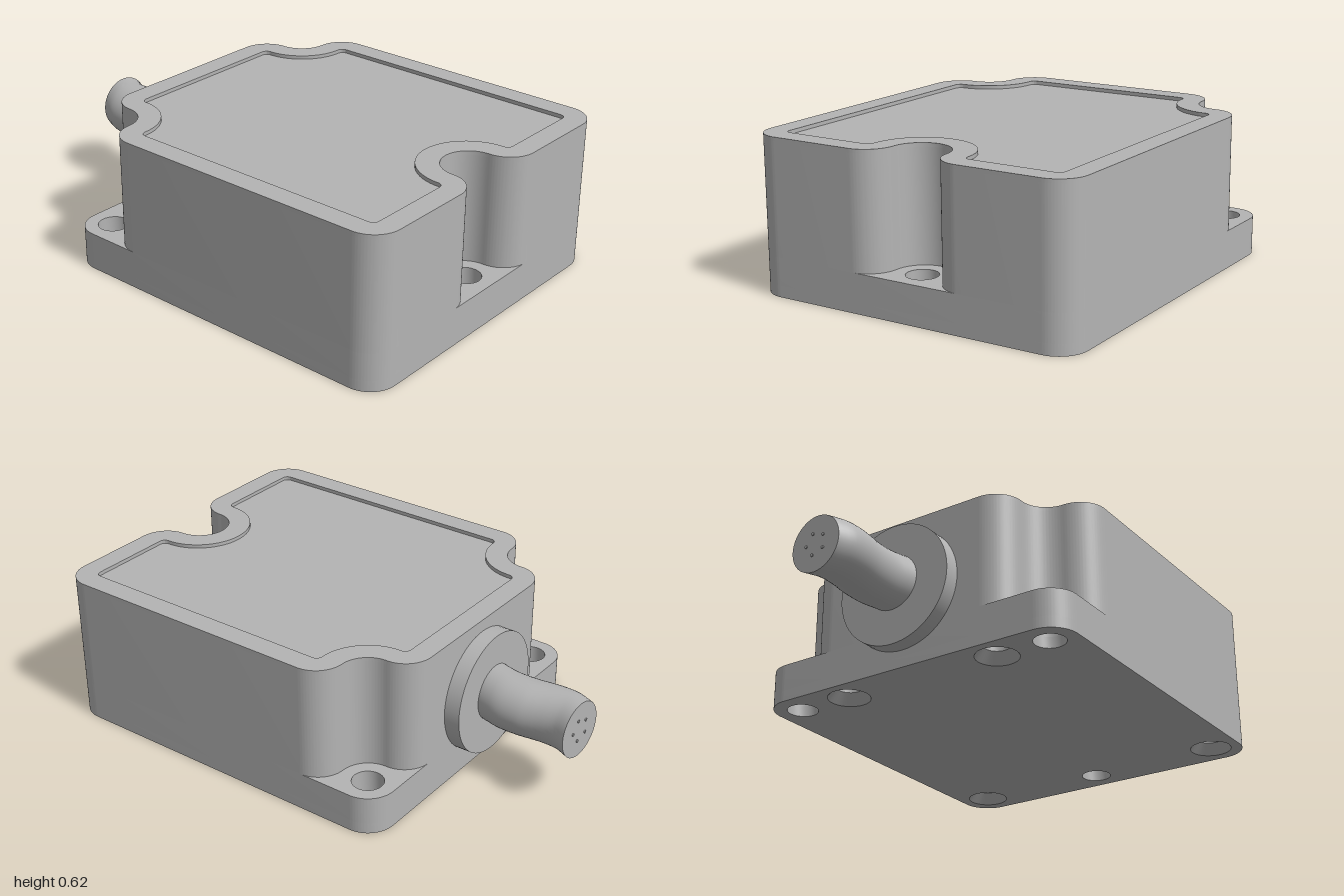
import * as THREE from 'three';
import { toCreasedNormals } from 'three/addons/utils/BufferGeometryUtils.js';

const R = 0.115; // radius shared by corners and screw pockets
const rad = THREE.MathUtils.degToRad;

// Arcs as [centre x, centre z, start, end] in degrees; falling angles are concave
const BASE_ARCS = [
  [0.575, -0.415, -90, 0], [0.575, 0.885, 0, 90],
  [-0.575, 0.885, 90, 180], [-0.575, -0.415, 180, 270],
];
const BODY_ARCS = [
  [0.345, -0.415, -90, 0], [0.575, -0.415, 180, 90], [0.575, -0.185, -90, 0],
  [0.575, 0.885, 0, 90],
  [0.23, 0.885, 90, 180], [0, 0.885, 0, -180], [-0.23, 0.885, 0, 90],
  [-0.575, 0.885, 90, 180],
  [-0.575, -0.185, 180, 270], [-0.575, -0.415, 90, 0], [-0.345, -0.415, 180, 270],
];
const MOUNT_HOLES = [[0.575, -0.415], [-0.575, -0.415], [0, 0.885]];
const SCREW_HOLES = [[0.345, -0.41], [-0.345, -0.41], [0.565, 0.87], [-0.565, 0.87]];

// Draws an outline, moved inwards by inset
function outline(path, arcs, inset = 0) {
  for (const [x, z, a, b] of arcs) {
    const concave = b < a;
    path.absarc(x, z, concave ? R + inset : R - inset, rad(a), rad(b), concave);
  }
  path.closePath();
  return path;
}

function addHoles(shape, centres, r) {
  for (const [x, z] of centres) {
    shape.holes.push(new THREE.Path().absarc(x, z, r, 0, Math.PI * 2, true));
  }
}

// Extrudes an x/z shape between two heights
function slab(shape, y0, y1) {
  const geo = new THREE.ExtrudeGeometry(shape, { depth: y1 - y0, bevelEnabled: false, curveSegments: 16 });
  geo.rotateX(Math.PI / 2).translate(0, y1, 0);
  return toCreasedNormals(geo, rad(35));
}

export function createModel() {
  const group = new THREE.Group();
  const grey = new THREE.MeshStandardMaterial({ color: 0xb4b4b4 });
  grey.name = 'plain grey';
  const add = (name, geo) => {
    const mesh = new THREE.Mesh(geo, grey);
    mesh.name = name;
    group.add(mesh);
    return mesh;
  };

  // Mounting base in two layers, the lower one with wide screw openings
  const sink = 0.045, ledge = 0.155, lid = 0.6, top = 0.615;
  for (const [name, y0, y1, r] of [['baseBottom', 0, sink, 0.085], ['baseTop', sink, ledge, 0.052]]) {
    const shape = outline(new THREE.Shape(), BASE_ARCS);
    addHoles(shape, MOUNT_HOLES, 0.062);
    addHoles(shape, SCREW_HOLES, r);
    add(name, slab(shape, y0, y1));
  }

  // Countersinks, facing into the holes
  const cone = new THREE.LatheGeometry(
    [new THREE.Vector2(0.052, sink), new THREE.Vector2(0.085, 0)], 32);
  for (const [x, z] of SCREW_HOLES) add('countersink', cone).position.set(x, 0, z);

  // Housing with screw pockets; its upper face is the sunken lid
  add('housing', slab(outline(new THREE.Shape(), BODY_ARCS), ledge, lid));

  // Raised rim around the lid
  const rim = outline(new THREE.Shape(), BODY_ARCS);
  rim.holes.push(outline(new THREE.Path(), BODY_ARCS, 0.09));
  add('rim', slab(rim, lid, top));

  // Round cable gland on the back
  const gland = new THREE.CylinderGeometry(0.248, 0.248, 0.065, 64);
  gland.rotateX(Math.PI / 2);
  add('cableGland', gland).position.set(0, 0.318, -0.5625);

  // Cable: a cylinder with its sections shifted along a gentle wave
  const z0 = -0.58, z1 = -0.993;
  const wave = new THREE.CatmullRomCurve3(
    [[0, z0], [0.023, -0.67], [0.024, -0.76], [0.013, -0.86], [0.018, -0.93], [0.045, z1]]
      .map(([x, z]) => new THREE.Vector3(x, 0, z)));
  const samples = wave.getPoints(100);
  const shiftAt = (z) => samples.reduce((a, b) => (Math.abs(b.z - z) < Math.abs(a.z - z) ? b : a)).x;
  const cable = new THREE.CylinderGeometry(0.113, 0.113, z0 - z1, 48, 24);
  cable.rotateX(Math.PI / 2).translate(0, 0.325, (z0 + z1) / 2);
  const p = cable.attributes.position;
  for (let i = 0; i < p.count; i++) {
    const x = p.getX(i), z = p.getZ(i), t = (z - z0) / (z1 - z0);
    p.setX(i, x + shiftAt(z));
    p.setZ(i, z + 0.06 * x * t * t); // slightly slanted end
  }
  add('cable', toCreasedNormals(cable, rad(40)));

  // Fine wire ends on the cut face
  const wire = new THREE.CylinderGeometry(0.006, 0.006, 0.008, 10);
  wire.rotateX(Math.PI / 2);
  for (let i = 0; i < 5; i++) {
    const a = (i / 5) * Math.PI * 2, x = 0.045 * Math.cos(a);
    add('wireEnd', wire).position.set(0.045 + x, 0.325 + 0.045 * Math.sin(a), z1 + 0.06 * x);
  }

  return group;
}
